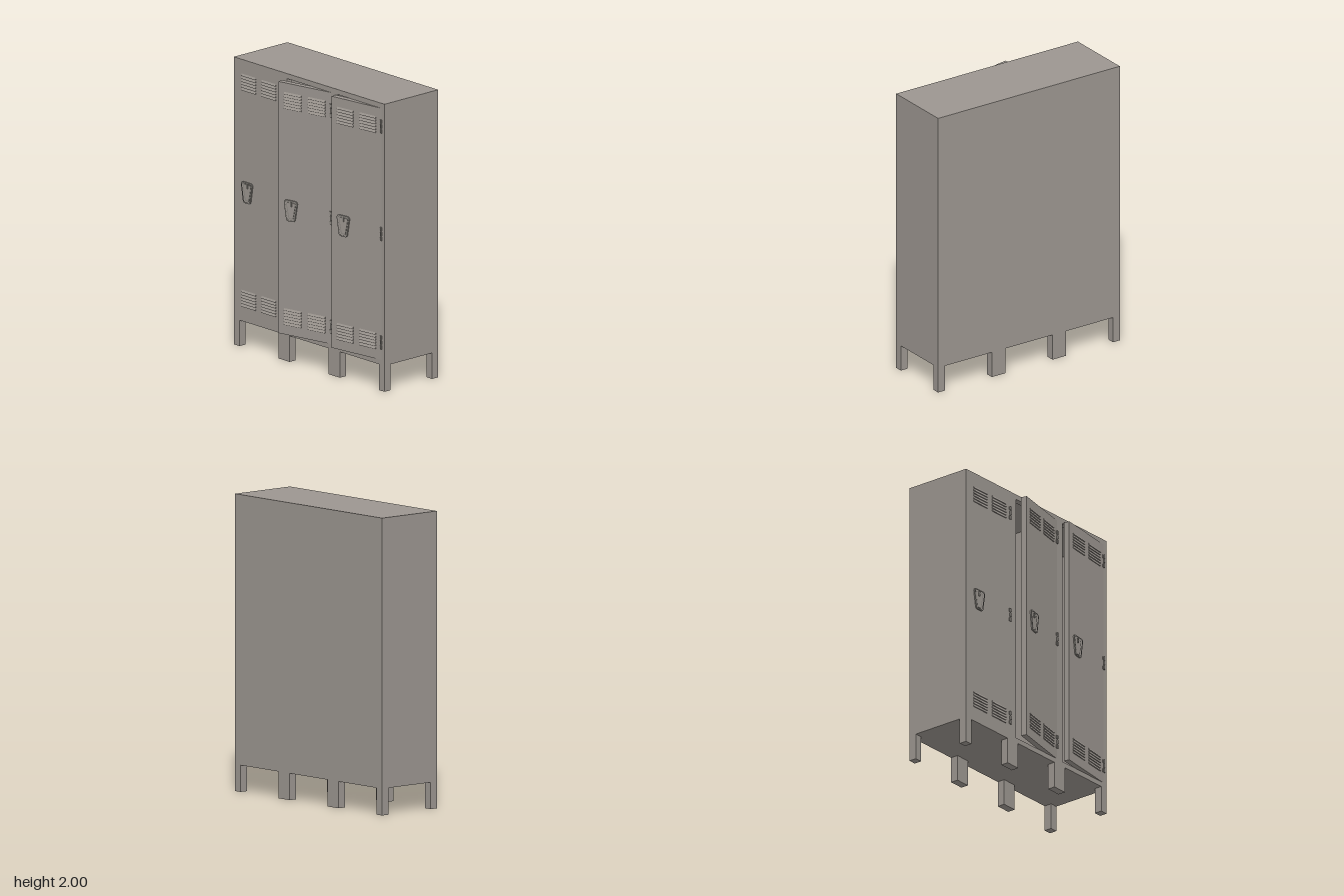
import * as THREE from 'three';

const W = 1.474, D = 0.487, BASE = 0.18, TOP = 2, BAY = W / 3;
const DOOR_W = 0.432, DOOR_T = 0.04, DOOR_LOW = 0.215, DOOR_HIGH = 1.965, RIM = (BAY - DOOR_W) / 2;
const FRONT = D / 2, PANEL = 0.015;

const paint = new THREE.MeshStandardMaterial({ color: 0x9c9690 });
paint.name = 'warm grey paint';
const metal = new THREE.MeshStandardMaterial({ color: 0x8a8680 });
metal.name = 'dull metal';

function add(parent, name, geometry, material, x = 0, y = 0, z = 0) {
  const mesh = new THREE.Mesh(geometry, material);
  mesh.name = name;
  mesh.position.set(x, y, z);
  parent.add(mesh);
  return mesh;
}

function box(parent, name, w, h, d, x, y, z, material = paint) {
  return add(parent, name, new THREE.BoxGeometry(w, h, d), material, x, y, z);
}

// Rounded, downward tapering outline of the handle; s shrinks it evenly
function taper(path, inset) {
  const t = 0.054 - inset, b = 0.034 - inset, h = 0.073 - inset, r = 0.02 - inset * 0.5;
  path.moveTo(-t + r, h);
  path.lineTo(t - r, h);
  path.quadraticCurveTo(t, h, t, h - r);
  path.lineTo(b + 0.003, -h + r);
  path.quadraticCurveTo(b, -h, b - r * 0.7, -h);
  path.lineTo(-b + r * 0.7, -h);
  path.quadraticCurveTo(-b, -h, -b - 0.003, -h + r);
  path.lineTo(-t, h - r);
  path.quadraticCurveTo(-t, h, -t + r, h);
  return path;
}

function ring(outer, inner, depth) {
  const shape = taper(new THREE.Shape(), outer);
  shape.holes.push(taper(new THREE.Path(), inner));
  return new THREE.ExtrudeGeometry(shape, { depth, bevelEnabled: false, curveSegments: 5 });
}

function makeHandle() {
  const handle = new THREE.Group();
  handle.name = 'handle';
  add(handle, 'handleRim', ring(0, 0.01, 0.009), metal);
  add(handle, 'handleInnerRim', ring(0.016, 0.022, 0.005), metal);
  const plate = new THREE.ExtrudeGeometry(taper(new THREE.Shape(), 0.009), { depth: 0.002, bevelEnabled: false, curveSegments: 5 });
  add(handle, 'handlePlate', plate, paint);
  box(handle, 'latch', 0.012, 0.032, 0.008, 0, 0.046, 0.004, metal);
  return handle;
}

// Three knuckles with small leaves alternating from side to side
function makeHinge() {
  const hinge = new THREE.Group();
  hinge.name = 'hinge';
  add(hinge, 'hingePin', new THREE.CylinderGeometry(0.004, 0.004, 0.094, 8), metal, 0, 0, 0.004);
  for (let i = -1; i <= 1; i++) {
    add(hinge, 'hingeKnuckle', new THREE.CylinderGeometry(0.0065, 0.0065, 0.024, 10), metal, 0, i * 0.034, 0.004);
    box(hinge, 'hingeLeaf', 0.012, 0.022, 0.004, i === 0 ? 0.005 : -0.007, i * 0.034, 0.002, metal);
  }
  return hinge;
}

// Louvre wedge, sloping outwards towards its lower edge
function louvreGeometry(length) {
  const s = new THREE.Shape([new THREE.Vector2(0, 0), new THREE.Vector2(0.008, 0), new THREE.Vector2(0, 0.014)]);
  const g = new THREE.ExtrudeGeometry(s, { depth: length, bevelEnabled: false });
  g.rotateY(-Math.PI / 2);
  g.translate(length / 2, 0, 0);
  return g;
}

// Door hung from its right edge; the origin is on the hinge line
function makeDoor(angle) {
  const door = new THREE.Group();
  door.name = 'door';
  box(door, 'doorPanel', DOOR_W, DOOR_HIGH - DOOR_LOW, DOOR_T, -DOOR_W / 2, (DOOR_HIGH + DOOR_LOW) / 2, -DOOR_T / 2);
  const louvre = louvreGeometry(0.14);
  for (const low of [0.283, 1.787])
    for (const side of [-1, 1])
      for (let i = 0; i < 6; i++)
        add(door, 'louvre', louvre, paint, -DOOR_W / 2 + side * 0.098, low + i * 0.02, 0);
  const handle = makeHandle();
  handle.position.set(-0.328, 1.083, 0);
  door.add(handle);
  for (const y of [0.337, 1.092, 1.84]) {
    const hinge = makeHinge();
    hinge.position.set(0, y, 0);
    door.add(hinge);
  }
  door.rotation.y = angle;
  return door;
}

function makeCabinet() {
  const cabinet = new THREE.Group();
  cabinet.name = 'cabinet';
  const h = TOP - BASE, mid = (TOP + BASE) / 2;

  // Front frame with three door openings
  const face = new THREE.Shape();
  face.moveTo(-W / 2, BASE).lineTo(W / 2, BASE).lineTo(W / 2, TOP).lineTo(-W / 2, TOP).closePath();
  for (let i = 0; i < 3; i++) {
    const l = -W / 2 + i * BAY + RIM, r = l + DOOR_W;
    const hole = new THREE.Path();
    hole.moveTo(l, DOOR_LOW).lineTo(l, DOOR_HIGH).lineTo(r, DOOR_HIGH).lineTo(r, DOOR_LOW).closePath();
    face.holes.push(hole);
  }
  add(cabinet, 'frontFrame', new THREE.ExtrudeGeometry(face, { depth: DOOR_T, bevelEnabled: false }), paint, 0, 0, FRONT - DOOR_T);

  // Shell and dividers behind the frame
  const depth = D - DOOR_T, z = -DOOR_T / 2;
  box(cabinet, 'backPanel', W, h, PANEL, 0, mid, -FRONT + PANEL / 2);
  for (const y of [BASE + PANEL / 2, TOP - PANEL / 2])
    box(cabinet, y < 1 ? 'floorPanel' : 'topPanel', W, PANEL, depth, 0, y, z);
  for (const s of [-1, 1]) {
    box(cabinet, 'sidePanel', PANEL, h, depth, s * (W - PANEL) / 2, mid, z);
    box(cabinet, 'divider', PANEL, h - 2 * PANEL, depth - PANEL, s * BAY / 2, mid, z + PANEL / 2);
  }

  // Narrow corner legs and wide middle legs
  const leg = 0.055;
  for (const sz of [-1, 1])
    for (const sx of [-1, 1]) {
      const lz = sz * (FRONT - leg / 2);
      box(cabinet, 'cornerLeg', leg, BASE, leg, sx * (W - leg) / 2, BASE / 2, lz);
      box(cabinet, 'middleLeg', leg * 2, BASE, leg, sx * BAY / 2, BASE / 2, lz);
    }
  return cabinet;
}

export function createModel() {
  const model = new THREE.Group();
  model.name = 'lockers';
  const body = makeCabinet();
  // First door shut, the others ajar
  [0, 0.2, 0.126].forEach((angle, i) => {
    const door = makeDoor(angle);
    door.position.set(-W / 2 + (i + 1) * BAY - RIM, 0, FRONT);
    body.add(door);
  });
  body.rotation.y = -0.0645;
  body.position.z = -0.015;
  model.add(body);
  return model;
}
